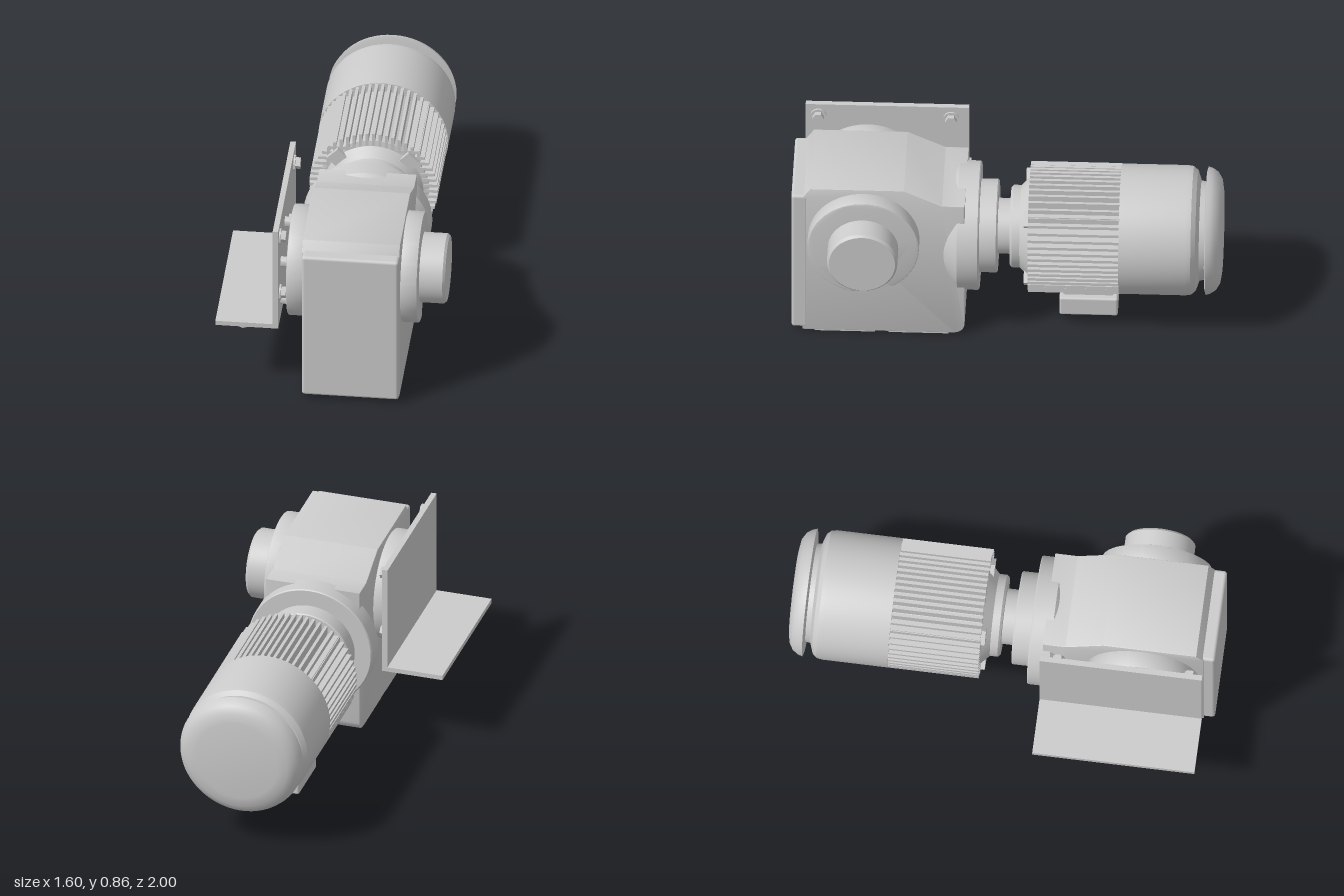
import * as THREE from 'three';
import { toCreasedNormals } from 'three/addons/utils/BufferGeometryUtils.js';
import { RoundedBoxGeometry } from 'three/addons/geometries/RoundedBoxGeometry.js';

const mat = new THREE.MeshStandardMaterial({ color: 0xcccccc });
const MX = 0.048, MY = 0.445;   // motor axis
const OY = 0.53, OZ = 0.55;     // output shaft axis

export function createModel() {
  // Local frame: motor axis along z, output shaft along x
  const root = new THREE.Group();
  root.name = 'gearMotor';
  root.rotation.y = THREE.MathUtils.degToRad(38);

  const add = (name, geo, x = 0, y = 0, z = 0, parent = root) => {
    const m = new THREE.Mesh(geo, mat);
    m.name = name;
    m.position.set(x, y, z);
    parent.add(m);
    return m;
  };
  // Box given by its limits
  const box = (name, x0, x1, y0, y1, z0, z1, parent) =>
    add(name, new THREE.BoxGeometry(x1 - x0, y1 - y0, z1 - z0),
      (x0 + x1) / 2, (y0 + y1) / 2, (z0 + z1) / 2, parent);
  // Turned part on the motor axis, profile of [radius, z]
  const turned = (name, profile) => {
    const g = new THREE.LatheGeometry(profile.map(p => new THREE.Vector2(...p)), 64);
    g.rotateX(Math.PI / 2);
    return add(name, toCreasedNormals(g, 0.5), MX, MY, 0);
  };
  // Outline in (z, y) extruded across x from x0 to x1
  const across = (name, shape, x0, x1, bevel = 0) => {
    const g = new THREE.ExtrudeGeometry(shape, {
      depth: x1 - x0 - 2 * bevel, bevelEnabled: bevel > 0, bevelSize: bevel,
      bevelThickness: bevel, bevelOffset: -bevel, bevelSegments: 2, curveSegments: 16
    });
    g.rotateY(-Math.PI / 2);
    return add(name, toCreasedNormals(g, 0.5), x1 - bevel, 0, 0);
  };
  // Cylinder along x
  const rodX = (name, r, x0, x1, y, z, seg = 48) => {
    const g = new THREE.CylinderGeometry(r, r, x1 - x0, seg);
    g.rotateZ(Math.PI / 2);
    return add(name, toCreasedNormals(g, 0.6), (x0 + x1) / 2, y, z);
  };

  // Motor: fan cover, cap, core and end bell
  turned('fanCap', [[0, -1.05], [0.19, -1.05], [0.235, -1.043], [0.265, -1.025],
    [0.282, -1.0], [0.288, -0.98], [0.27, -0.975], [0, -0.965]]);
  turned('fanCover', [[0, -0.975], [0.22, -0.975], [0.225, -0.95], [0.27, -0.935],
    [0.288, -0.915], [0.292, -0.89], [0.292, -0.592], [0, -0.592]]);
  turned('motorCore', [[0, -0.6], [0.25, -0.6], [0.25, -0.19], [0.225, -0.185],
    [0.185, -0.145], [0.185, -0.11], [0.175, -0.1], [0, -0.1]]);

  // Parallel cooling fins, horizontal on the sides and vertical above and below
  const fins = new THREE.Group();
  fins.name = 'coolingFins';
  root.add(fins);
  const R = 0.289;
  for (let i = -7; i <= 7; i++) {
    const o = i * 0.029, h = Math.sqrt(R * R - o * o), t = 0.007;
    box('sideFin', MX - h, MX + h, MY + o - t, MY + o + t, -0.594, -0.185, fins);
    box('topFin', MX + o - t, MX + o + t, MY - h, MY + h, -0.594, -0.185, fins);
  }
  // Corner lugs of the end shield
  for (let k = 0; k < 4; k++) {
    const a = Math.PI / 4 + k * Math.PI / 2;
    const lug = box('endLug', -0.035, 0.035, -0.06, 0.06, -0.215, -0.165);
    lug.position.x = MX + 0.2 * Math.cos(a);
    lug.position.y = MY + 0.2 * Math.sin(a);
    lug.rotation.z = a + Math.PI / 2;
  }

  // Terminal box under the motor
  box('terminalBoxNeck', MX - 0.11, MX + 0.09, 0.12, 0.24, -0.56, -0.34);
  add('terminalBox', new RoundedBoxGeometry(0.262, 0.095, 0.262, 2, 0.01), 0.036, 0.088, -0.453);

  // Stepped adapter between motor and gearbox
  turned('adapter', [[0, -0.11], [0.125, -0.11], [0.125, -0.045], [0.205, -0.045],
    [0.21, -0.04], [0.21, 0.035], [0.285, 0.035], [0.29, 0.04], [0.29, 0.132],
    [0.22, 0.2], [0, 0.2]]);

  // Gearbox housing with sloped shoulder and rounded lower back edge
  const s = new THREE.Shape();
  s.moveTo(0.15, 0.008);
  s.lineTo(0.825, 0.008);
  s.lineTo(0.825, 0.75);
  s.lineTo(0.79, 0.8);
  s.lineTo(0.37, 0.8);
  s.lineTo(0.2, 0.72);
  s.lineTo(0.098, 0.72);
  s.lineTo(0.098, 0.06);
  s.quadraticCurveTo(0.1, 0.01, 0.15, 0.008);
  across('gearboxHousing', s, -0.165, 0.275, 0.004);
  box('rearFootPad', -0.16, 0.27, 0, 0.02, 0.17, 0.44);
  box('frontFootPad', -0.16, 0.27, 0, 0.02, 0.5, 0.77);
  add('frontCover', new RoundedBoxGeometry(0.436, 0.74, 0.075, 2, 0.014), 0.058, 0.39, 0.837);

  // Round side bosses, each with a scallop cut in its lower edge
  const boss = new THREE.Shape();
  const rb = 0.25, rn = 0.085, D = 0.27, phi = -Math.PI / 2 - 0.2;
  for (let i = 0; i < 120; i++) {
    const a = phi + (i / 120) * Math.PI * 2, d = Math.abs(D * Math.sin(a - phi));
    let r = rb;
    if (Math.cos(a - phi) > 0 && d < rn)
      r = Math.min(rb, D * Math.cos(a - phi) - Math.sqrt(rn * rn - d * d));
    boss[i ? 'lineTo' : 'moveTo'](OZ + r * Math.cos(a), OY + r * Math.sin(a));
  }
  boss.closePath();
  across('outputBoss', boss, 0.26, 0.35, 0.006);
  across('mountingBoss', boss, -0.24, -0.15, 0.006);

  // Output shaft cover
  const hub = new THREE.LatheGeometry([[0, 0], [0.158, 0], [0.158, 0.115], [0.148, 0.126], [0, 0.126]]
    .map(p => new THREE.Vector2(...p)), 64);
  hub.rotateZ(-Math.PI / 2);
  add('shaftCover', toCreasedNormals(hub, 0.5), 0.34, OY, OZ);

  // Angle bracket
  const bracket = new THREE.Group();
  bracket.name = 'angleBracket';
  root.add(bracket);
  box('uprightPlate', -0.295, -0.27, 0.34, 0.86, 0.1, 0.832, bracket);
  box('shelfPlate', -0.553, -0.295, 0.34, 0.362, 0.1, 0.832, bracket);

  // Bolts in the bracket and studs joining it to the boss
  for (const z of [0.18, 0.775]) {
    for (const y of [0.8, 0.5]) {
      rodX('washer', 0.036, -0.272, -0.262, y, z, 24);
      rodX('plateBolt', 0.026, -0.262, -0.24, y, z, 6);
    }
    const w = new THREE.CylinderGeometry(0.045, 0.045, 0.012, 24);
    add('shelfWasher', toCreasedNormals(w, 0.6), -0.43, 0.335, z);
    const b = new THREE.CylinderGeometry(0.032, 0.032, 0.02, 6);
    add('shelfBolt', toCreasedNormals(b, 0.6), -0.43, 0.325, z);
  }
  for (let k = 0; k < 6; k++) {
    const a = k * Math.PI / 3 + Math.PI / 6;
    rodX('bossStud', 0.024, -0.275, -0.235, OY + 0.2 * Math.sin(a), OZ + 0.2 * Math.cos(a), 16);
  }

  const model = new THREE.Group();
  model.name = 'model';
  model.add(root);
  return model;
}
